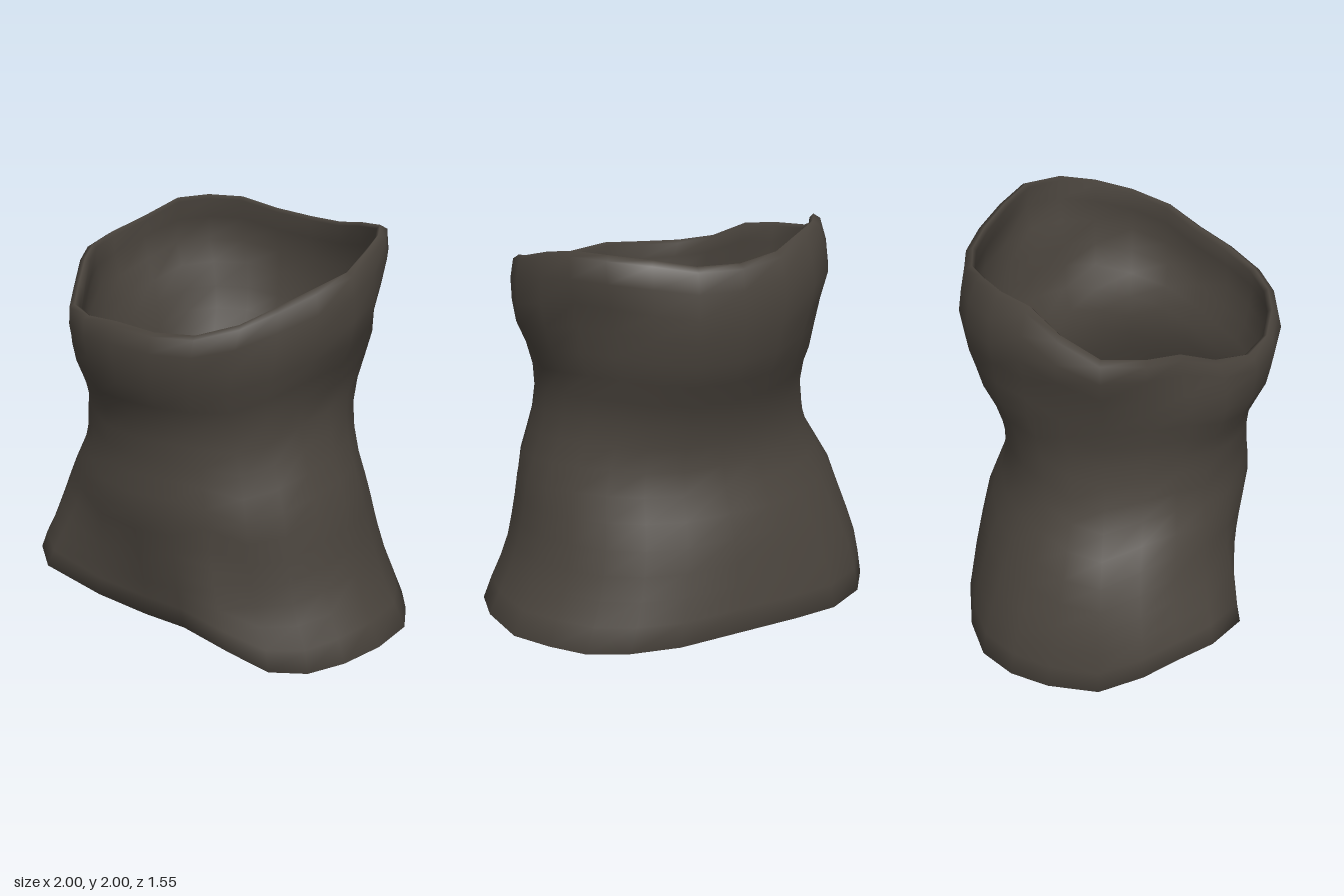
import * as THREE from 'three';

const SEGMENTS = 24, ROWS = 16, THICKNESS = 0.05;

// Tables run every 15 degrees, from +x round through +z (front)
const HEM = [0.07, 0.05, 0.015, 0.0, 0.13, 0.17, 0.13, 0.15, 0.23, 0.24, 0.22, 0.17,
  0.06, 0.05, 0.05, 0.05, 0.05, 0.08, 0.1, 0.09, 0.08, 0.07, 0.07, 0.07];
const RIM = [1.88, 1.83, 1.76, 1.7, 1.655, 1.65, 1.665, 1.65, 1.655, 1.7, 1.79, 1.815,
  1.84, 1.91, 1.99, 2.0, 1.99, 1.94, 1.92, 1.925, 1.96, 1.985, 1.98, 1.94];
// Reach near the hem: pulled in at the front, out at the corners
const HEM_FLARE = [1, 0.98, 0.95, 0.9, 1.03, 0.96, 0.88, 0.95, 1.14, 1.1, 1.04, 1.03,
  1, 1, 1.02, 1.04, 1.02, 1, 1, 1, 0.99, 0.98, 0.97, 1];
// Reach of the collar, pinched between the sides and the front and back
const COLLAR_FLARE = [1, 0.97, 0.94, 0.97, 1, 1, 1, 1, 1.01, 1.01, 0.97, 0.97,
  1, 0.97, 0.95, 0.97, 1, 1, 1, 1, 0.98, 0.94, 0.93, 0.97];
// Extra turn of the lip, out at the back corners and in at the front right
const LIP_TURN = [0, -0.01, -0.02, -0.01, 0, 0, 0, 0, -0.02, -0.08, -0.07, -0.02,
  0, 0, 0.02, 0.03, 0.01, 0, 0, 0, 0.04, 0.14, 0.12, 0.03];

// Silhouettes as [height, reach] for each side
const LEFT = [[0, 1.0], [0.07, 1.0], [0.35, 0.86], [0.55, 0.81], [0.77, 0.77], [1.0, 0.69],
  [1.18, 0.655], [1.35, 0.68], [1.53, 0.77], [1.7, 0.8], [1.94, 0.76], [2, 0.73]];
const RIGHT = [[0, 1.0], [0.07, 1.0], [0.34, 0.97], [0.64, 0.87], [0.9, 0.71], [1.15, 0.66],
  [1.3, 0.67], [1.53, 0.73], [1.78, 0.82], [1.85, 0.79], [2, 0.74]];
const FRONT = [[0, 0.66], [0.24, 0.66], [0.58, 0.65], [0.74, 0.665], [0.97, 0.64],
  [1.18, 0.66], [1.38, 0.75], [1.58, 0.78], [1.66, 0.755], [2, 0.72]];
const BACK = [[0, 0.77], [0.1, 0.77], [0.35, 0.72], [0.57, 0.67], [0.8, 0.58], [0.95, 0.55],
  [1.2, 0.6], [1.42, 0.71], [1.7, 0.75], [1.9, 0.72], [2, 0.67]];

function reach(profile, y) {
  const i = Math.max(1, profile.findIndex((p) => p[0] >= y));
  const [y0, r0] = profile[i - 1], [y1, r1] = profile[i];
  return THREE.MathUtils.lerp(r0, r1, THREE.MathUtils.clamp((y - y0) / (y1 - y0), 0, 1));
}

// A point on the cloth in column j; inset moves it inwards for the lining
function clothPoint(j, v, inset) {
  const angle = (j / SEGMENTS) * Math.PI * 2;
  const y = THREE.MathUtils.lerp(HEM[j], RIM[j], v);
  const c = Math.cos(angle), s = Math.sin(angle);
  const low = Math.max(0, 1 - y / 0.65);
  const high = THREE.MathUtils.smoothstep(y, 1.3, 1.7);
  const lip = THREE.MathUtils.smoothstep(v, 0.8, 1);
  const power = 2 / (2.1 + 0.35 * low);
  const scale = 1 + (HEM_FLARE[j] - 1) * Math.min(1, low * 1.6)
    + (COLLAR_FLARE[j] - 1) * high + LIP_TURN[j] * lip;
  const rx = reach(c > 0 ? LEFT : RIGHT, y) * scale - inset;
  const rz = reach(s > 0 ? FRONT : BACK, y) * scale - inset;
  return [
    Math.sign(c) * Math.abs(c) ** power * rx, y,
    Math.sign(s) * Math.abs(s) ** power * rz,
  ];
}

// Closed shell: up the outside, over the rim, down the lining, under the hem
function clothGeometry() {
  const rings = [];
  for (let r = 0; r <= ROWS; r++) rings.push([r === ROWS ? 0.99 : r / ROWS, 0]);
  rings.push([1, THICKNESS / 2]);
  for (let r = ROWS; r >= 0; r--) rings.push([r === ROWS ? 0.99 : r / ROWS, THICKNESS]);
  const positions = [], index = [];
  for (const [v, inset] of rings) {
    for (let j = 0; j < SEGMENTS; j++) positions.push(...clothPoint(j, v, inset));
  }
  for (let r = 0; r < rings.length; r++) {
    const next = (r + 1) % rings.length;
    for (let j = 0; j < SEGMENTS; j++) {
      const k = (j + 1) % SEGMENTS;
      const a = r * SEGMENTS + j, b = next * SEGMENTS + j;
      const c = next * SEGMENTS + k, d = r * SEGMENTS + k;
      index.push(a, b, d, b, c, d);
    }
  }
  const geometry = new THREE.BufferGeometry();
  geometry.setAttribute('position', new THREE.Float32BufferAttribute(positions, 3));
  geometry.setIndex(index);
  geometry.computeVertexNormals();
  return geometry;
}

export function createModel() {
  const group = new THREE.Group();
  group.name = 'clothNeckWarmer';
  const cloth = new THREE.MeshStandardMaterial({ color: 0x4a443d });
  cloth.name = 'dark brown cloth';
  const tube = new THREE.Mesh(clothGeometry(), cloth);
  tube.name = 'clothTube';
  group.add(tube);
  return group;
}
